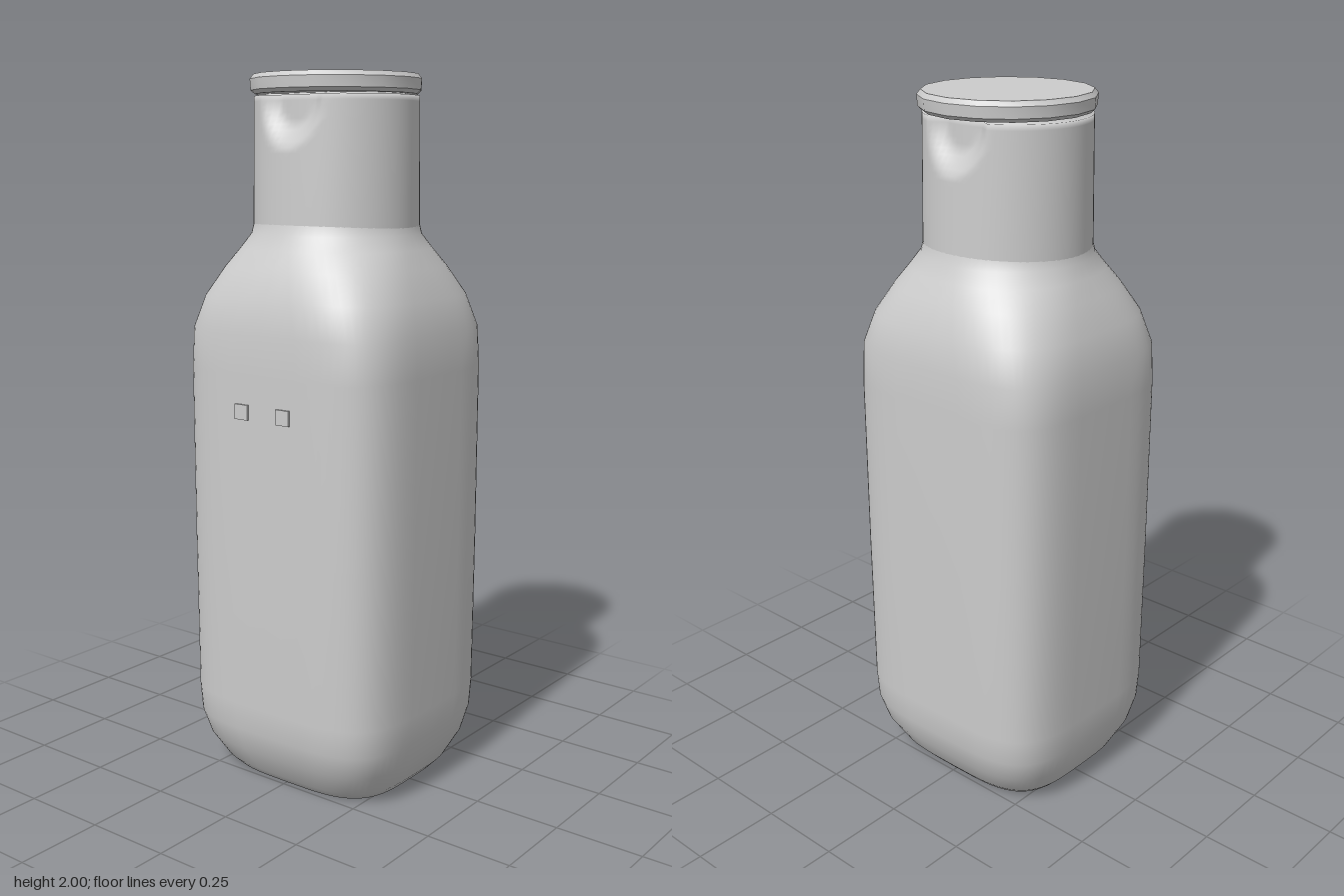
import * as THREE from 'three';
import { toCreasedNormals } from 'three/addons/utils/BufferGeometryUtils.js';

// Skin over superellipse rings, each [y, halfX, halfZ, exponent], listed bottom to top
function loft(rings, segments, shape) {
  const pos = [], index = [];
  for (const [y, hx, hz, n] of rings) {
    for (let j = 0; j < segments; j++) {
      const a = (j / segments) * Math.PI * 2, c = Math.cos(a), s = Math.sin(a);
      const p = new THREE.Vector3(
        hx * Math.sign(c) * Math.abs(c) ** (2 / n), y,
        hz * Math.sign(s) * Math.abs(s) ** (2 / n));
      if (shape) shape(p);
      pos.push(p.x, p.y, p.z);
    }
  }
  for (let i = 0; i < rings.length - 1; i++) {
    for (let j = 0; j < segments; j++) {
      const k = (j + 1) % segments;
      const a = i * segments + j, b = i * segments + k;
      const c = a + segments, d = b + segments;
      index.push(a, c, b, b, c, d);
    }
  }
  const g = new THREE.BufferGeometry();
  g.setAttribute('position', new THREE.Float32BufferAttribute(pos, 3));
  g.setIndex(index);
  g.computeVertexNormals();
  return g;
}

export function createModel() {
  const group = new THREE.Group();
  const grey = new THREE.MeshStandardMaterial({ color: 0xcccccc });
  grey.name = 'light grey';
  const add = (name, geometry) => {
    const mesh = new THREE.Mesh(geometry, grey);
    mesh.name = name;
    group.add(mesh);
    return mesh;
  };

  // Rounded square bottle, from the slightly hollow base to the round shoulder top
  add('body', loft([
    [0.02, 0, 0, 3.5],
    [0.02, 0.18, 0.16, 3.5],
    [0.003, 0.24, 0.21, 3.5],
    [0.003, 0.27, 0.235, 3.6],
    [0.03, 0.295, 0.26, 3.7],
    [0.10, 0.33, 0.3, 4],
    [0.17, 0.345, 0.32, 4.2],
    [0.25, 0.35, 0.325, 4.2],
    [0.7, 0.352, 0.327, 4.2],
    [1.2, 0.352, 0.327, 4.2],
    [1.31, 0.347, 0.325, 4.1],
    [1.40, 0.322, 0.311, 3.5],
    [1.48, 0.285, 0.278, 2.8],
    [1.53, 0.26, 0.253, 2.3],
    [1.57, 0.24, 0.234, 2],
    [1.6, 0.234, 0.225, 2],
  ], 64));

  // Neck with a thumb recess under the lid at front and back
  const neckRings = [];
  for (let i = 0; i <= 24; i++) {
    const t = i / 24;
    neckRings.push([1.57 + 0.37 * t, 0.236 - 0.002 * t, 0.226 - 0.01 * t, 2]);
  }
  neckRings.push([1.94, 0.2, 0.185, 2], [1.97, 0.2, 0.185, 2]);
  add('neck', loft(neckRings, 96, (p) => {
    const d = Math.hypot(p.x / 0.105, (1.94 - p.y) / 0.14);
    if (d < 1 && Math.abs(p.z) > 0.15) {
      const depth = 0.04 * Math.min(1, (1 - d) * 2.5);
      p.z -= Math.sign(p.z) * depth;
    }
  }));

  // Faceted lid with a softened top edge
  const lidProfile = [[0, 1.945], [0.225, 1.945], [0.236, 1.955], [0.238, 1.985], [0.228, 1.998], [0, 2]]
    .map(([r, y]) => new THREE.Vector2(r, y));
  add('lid', toCreasedNormals(new THREE.LatheGeometry(lidProfile, 16), 0.6));

  // Two small square studs on the front
  for (const side of [-1, 1]) {
    const stud = add(side < 0 ? 'rightStud' : 'leftStud', new THREE.BoxGeometry(0.045, 0.042, 0.02));
    stud.position.set(side * 0.072, 1.1, 0.322);
  }
  return group;
}
